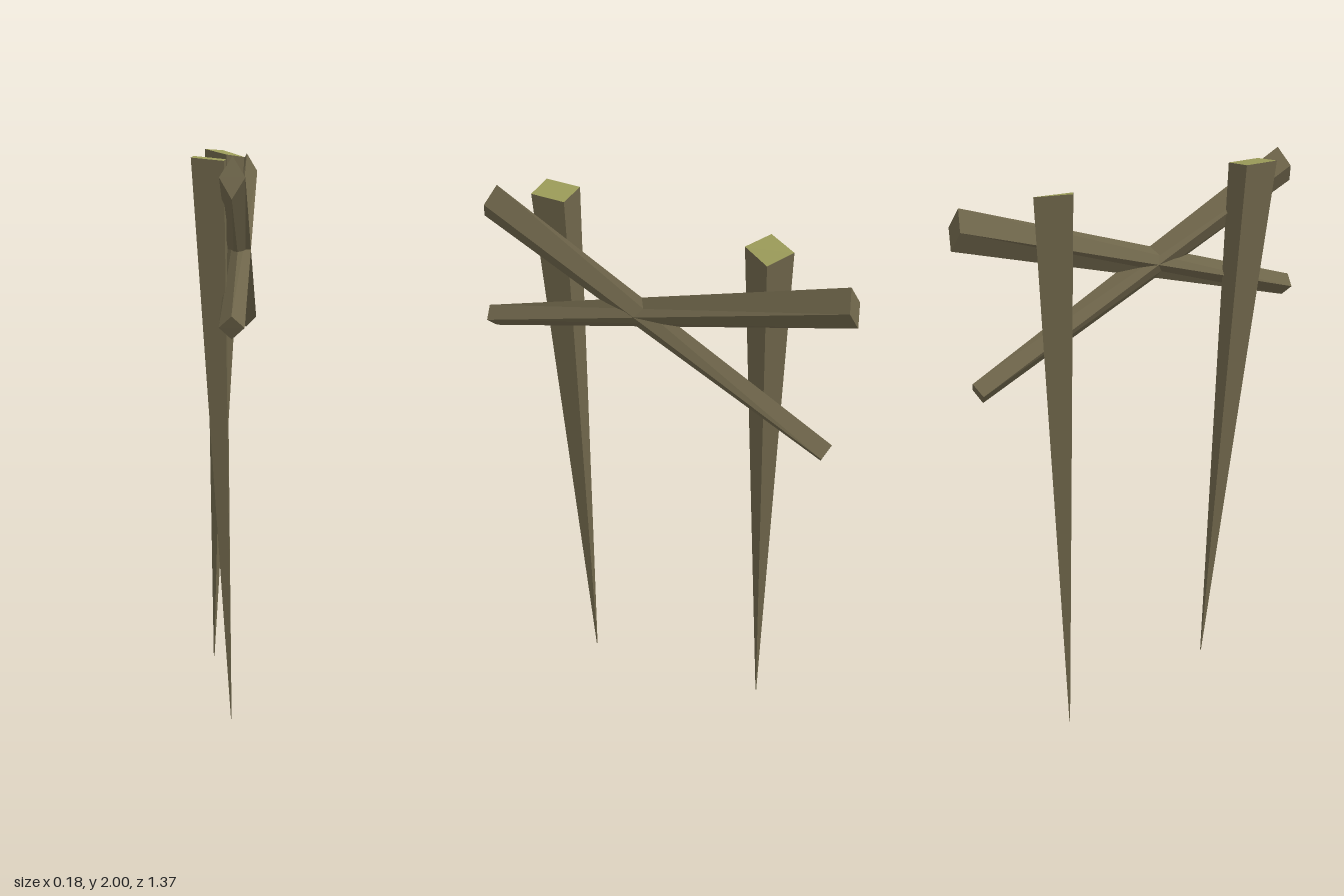
import * as THREE from 'three';

const wood = new THREE.MeshStandardMaterial({ color: 0x6e654a });
wood.name = 'weathered wood';
const cutWood = new THREE.MeshStandardMaterial({ color: 0x9a9a58 });
cutWood.name = 'cut wood';

// Solid between two four-cornered ends; group 0 is the first end, group 1 the rest.
// Corners run counter-clockwise as seen from outside the first end.
function loft(a, b) {
  const pos = [];
  const quad = (...c) => [0, 1, 2, 0, 2, 3].forEach((i) => pos.push(...c[i]));
  quad(...a);
  for (let i = 0; i < 4; i++) {
    const j = (i + 1) % 4;
    quad(b[i], b[j], a[j], a[i]);
  }
  quad(b[3], b[2], b[1], b[0]);
  const geometry = new THREE.BufferGeometry();
  geometry.setAttribute('position', new THREE.Float32BufferAttribute(pos, 3));
  geometry.addGroup(0, 6, 0);
  geometry.addGroup(6, 30, 1);
  geometry.computeVertexNormals();
  return geometry;
}

// Stake: square top narrowing to a point
function stake(name, top, tip) {
  const end = top.map(([x, , z]) => [
    tip[0] + (x - top[0][0]) * 0.02, tip[1], tip[2] + (z - top[0][2]) * 0.02,
  ]);
  const mesh = new THREE.Mesh(loft(top, end), [cutWood, wood]);
  mesh.name = name;
  return mesh;
}

// Diamond end of a rail, given its upper, middle and lower corners as [y, z]
function diamond(upper, middle, lower) {
  return [[0.09, ...middle], [0.05, ...upper], [0.01, ...middle], [0.05, ...lower]];
}

function rail(name, frontEnd, backEnd) {
  const mesh = new THREE.Mesh(loft(frontEnd, backEnd), [wood, wood]);
  mesh.name = name;
  return mesh;
}

export function createModel() {
  const group = new THREE.Group();
  group.name = 'stakeFence';

  // Upright stakes
  group.add(stake('frontStake',
    [[-0.085, 1.99, 0.51], [0.018, 1.98, 0.507], [0.018, 1.98, 0.38], [-0.085, 1.99, 0.38]],
    [0.033, 0.03, 0.312]));
  group.add(stake('backStake',
    [[-0.01, 1.97, -0.265], [0.05, 1.957, -0.37], [-0.03, 1.98, -0.425], [-0.093, 1.988, -0.317]],
    [-0.064, 0, -0.355]));

  // Crossed tapering rails
  group.add(rail('fallingRail',
    diamond([2.0, 0.62], [1.937, 0.65], [1.873, 0.68]),
    diamond([1.365, -0.63], [1.328, -0.612], [1.29, -0.595])));
  group.add(rail('risingRail',
    diamond([1.52, 0.69], [1.483, 0.678], [1.445, 0.665]),
    diamond([1.96, -0.65], [1.892, -0.667], [1.825, -0.683])));

  return group;
}
